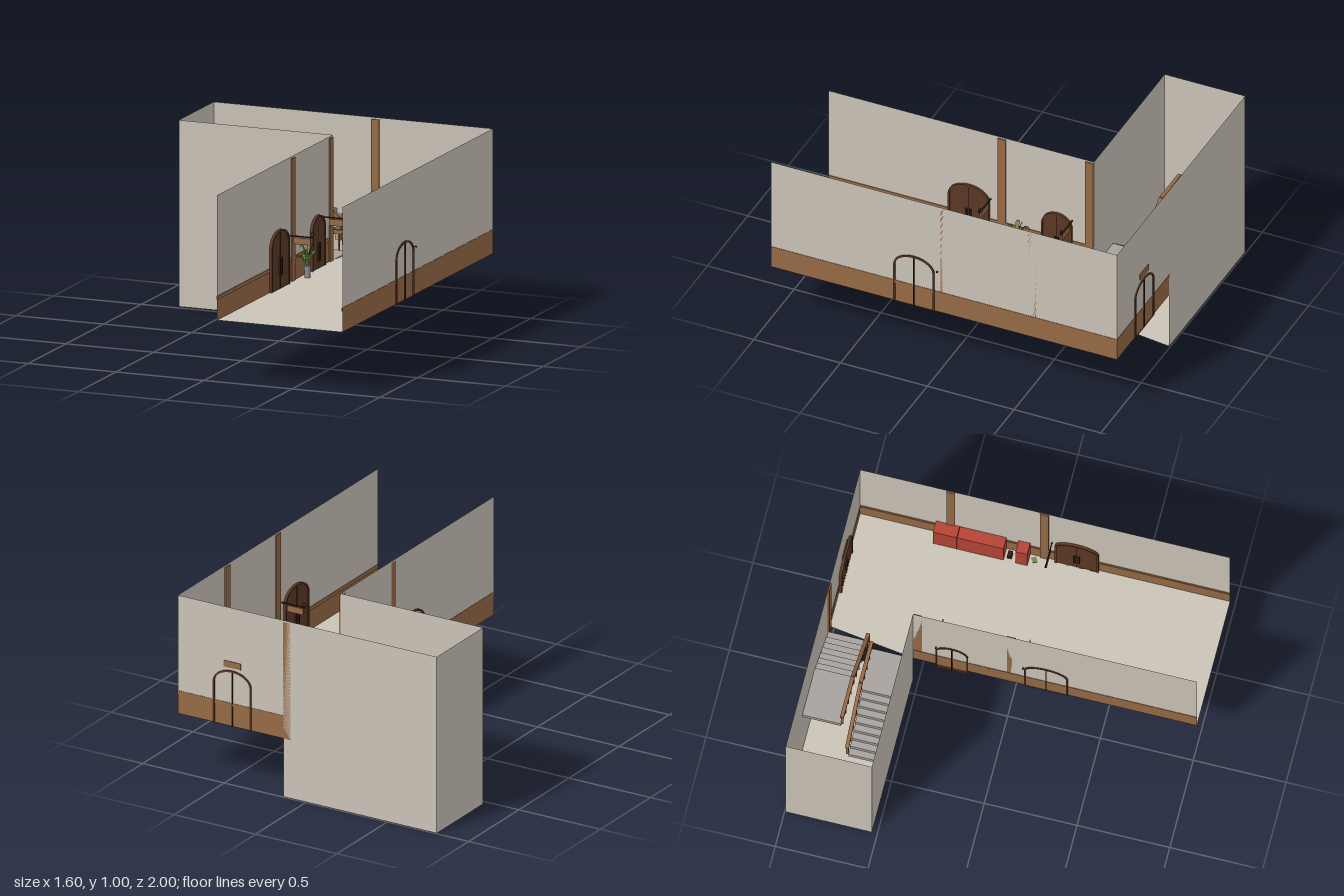
import * as THREE from 'three';

const mat = (name, color, side = THREE.FrontSide) => {
  const m = new THREE.MeshStandardMaterial({ color, side });
  m.name = name;
  return m;
};

export function createModel() {
  const D = THREE.DoubleSide;
  const plaster = mat('plaster', 0xcbc3b8, D);
  const wood = mat('wood', 0x966a45, D);
  const darkWood = mat('dark wood', 0x5c3825);
  const iron = mat('dark iron', 0x2e1d14);
  const stone = mat('stair stone', 0xa8a29d);
  const red = mat('red', 0xb54436);
  const green = mat('leaf green', 0x6c8f42, D);
  const potGrey = mat('pot grey', 0x8d8f90);

  const root = new THREE.Group();
  const add = (name, geo, material, x = 0, y = 0, z = 0, parent = root) => {
    const m = new THREE.Mesh(geo, material);
    m.name = name;
    m.position.set(x, y, z);
    parent.add(m);
    return m;
  };
  // box given by its lower and upper corners
  const box = (name, material, x0, x1, y0, y1, z0, z1, parent = root) =>
    add(name, new THREE.BoxGeometry(x1 - x0, y1 - y0, z1 - z0), material,
      (x0 + x1) / 2, (y0 + y1) / 2, (z0 + z1) / 2, parent);

  // flat upright wall between two plan points
  const wall = (name, material, [xa, za], [xb, zb], y0, y1) => {
    const m = add(name, new THREE.PlaneGeometry(Math.hypot(xb - xa, zb - za), y1 - y0), material,
      (xa + xb) / 2, (y0 + y1) / 2, (za + zb) / 2);
    m.rotation.y = -Math.atan2(zb - za, xb - xa);
  };
  // flat floor from plan points
  const floor = (name, pts, y) => {
    const g = new THREE.ShapeGeometry(new THREE.Shape(pts.map(([x, z]) => new THREE.Vector2(x, -z))));
    g.rotateX(-Math.PI / 2);
    add(name, g, plaster, 0, y, 0);
  };

  const F = 0.33, DADO = 0.46, TOP = 1, L = 0.075, R = 0.787, B = -0.994, S = -0.53, W = -0.8, K = 0.14;

  // corridor and stairwell shell
  floor('corridorFloor', [[L, 1], [R, 1], [R, B], [K, B], [L, S]], F);
  floor('stairwellFloor', [[W, S], [L, S], [K, B], [W, B]], 0);
  wall('leftUpperWall', plaster, [L, S], [L, 1], DADO, TOP);
  wall('rightUpperWall', plaster, [R, B], [R, 1], DADO, TOP);
  wall('backUpperWall', plaster, [K, B], [R, B], DADO, TOP);
  wall('stairwellBackWall', plaster, [W, B], [K, B], 0, TOP);
  wall('stairwellSideWall', plaster, [W, B], [W, S], 0, TOP);
  wall('stairwellFrontWall', plaster, [W, S], [L, S], 0, TOP);

  // wainscot with a slim cap rail
  wall('leftWainscot', wood, [L, S], [L, 1], F, DADO);
  wall('rightWainscot', wood, [R, B], [R, 1], F, DADO);
  wall('backWainscot', wood, [K, B], [R, B], F, DADO);
  box('leftCapRail', wood, L - 0.002, L + 0.004, 0.44, DADO, S, 1);
  box('rightCapRail', wood, R - 0.004, R + 0.002, 0.44, DADO, B, 1);
  box('backCapRail', wood, K, R, 0.44, DADO, B - 0.002, B + 0.004);

  // wall posts
  for (const z of [-0.505, 0]) {
    box('leftPost', wood, L, L + 0.007, F, 0.99, z - 0.023, z + 0.023);
    box('rightPost', wood, R - 0.007, R, F, 0.99, z - 0.023, z + 0.023);
  }
  box('backPost', wood, 0.098, 0.142, F, 0.99, B, B + 0.008);

  // arched double doors
  const arch = (w, spring, rise, Type) => {
    const s = new Type();
    s.moveTo(-w, 0);
    s.lineTo(w, 0);
    s.lineTo(w, spring);
    s.absellipse(0, spring, w, rise, 0, Math.PI, false);
    s.lineTo(-w, 0);
    return s;
  };
  const extrude = (shape, depth) =>
    new THREE.ExtrudeGeometry(shape, { depth, bevelEnabled: false, curveSegments: 16 });
  const door = (name, x, y, z, turn, width) => {
    const g = new THREE.Group();
    g.name = name;
    g.position.set(x, y, z);
    g.rotation.y = turn;
    g.scale.x = width / 0.236;
    const rim = arch(0.118, 0.235, 0.08, THREE.Shape);
    rim.holes.push(arch(0.108, 0.235, 0.07, THREE.Path));
    add('doorFrame', extrude(rim, 0.021), darkWood, 0, 0, -0.006, g);
    add('doorLeaves', extrude(arch(0.11, 0.235, 0.072, THREE.Shape), 0.009), darkWood, 0, 0, 0.001, g);
    box('doorSeam', iron, -0.003, 0.003, 0, 0.305, -0.006, 0.012, g);
    for (const s of [-1, 1]) box('doorHandle', iron, s * 0.012 - 0.005, s * 0.012 + 0.005, 0.07, 0.165, 0.01, 0.018, g);
    root.add(g);
  };
  door('backDoor', 0.453, F, B, 0, 0.236);
  door('leftFrontDoor', L, F, 0.188, Math.PI / 2, 0.236);
  door('leftRearDoor', L, F - 0.03, -0.32, Math.PI / 2, 0.175);
  door('rightDoor', R, F, 0.175, -Math.PI / 2, 0.236);
  box('backDoorSign', wood, 0.4, 0.505, 0.66, 0.695, B - 0.004, B + 0.005);

  // signs hanging from wall rods
  const sign = (x, z, dir) => {
    const g = new THREE.Group();
    g.name = 'hangingSign';
    g.position.set(x, 0, z);
    const span = (a, b) => [Math.min(a * dir, b * dir), Math.max(a * dir, b * dir)];
    box('signRod', iron, ...span(-0.012, 0.145), 0.584, 0.59, -0.003, 0.003, g);
    box('signBoard', wood, ...span(0.035, 0.132), 0.545, 0.58, -0.004, 0.004, g);
    add('rodRing', new THREE.TorusGeometry(0.011, 0.002, 6, 16), iron, dir * 0.14, 0.603, 0, g);
    root.add(g);
  };
  sign(L, -0.405, 1);
  sign(L, 0.065, 1);
  sign(R, 0.04, -1);

  // stairs: rear flight climbs to a landing, front flight drops from one
  const N = 8, RISE = 0.0275, BACK = [B + 0.001, -0.785], FRONT = [-0.745, S - 0.001];
  for (let i = 0; i < N; i++) {
    const xu = 0.1 - i * 0.04, yu = F + (i + 1) * RISE;
    box('upStep', stone, xu - 0.04, xu, yu - 0.035, yu, ...BACK);
    const xd = -0.16 - i * 0.036, yd = F - (i + 1) * RISE;
    box('downStep', stone, xd - 0.036, xd, yd - 0.03, yd + 0.001, ...FRONT);
  }
  const HI = F + N * RISE, LO = F - N * RISE;
  box('upperLanding', stone, -0.45, -0.22, HI - 0.03, HI, ...BACK);
  box('lowerLanding', stone, -0.16, L, F - 0.03, F - 0.001, FRONT[0] - 0.015, FRONT[1]);

  // handrails with balusters
  const beam = (name, x0, y0, x1, y1, z) => {
    const m = add(name, new THREE.BoxGeometry(Math.hypot(x1 - x0, y1 - y0), 0.02, 0.02), wood,
      (x0 + x1) / 2, (y0 + y1) / 2, z);
    m.rotation.z = Math.atan2(y1 - y0, x1 - x0);
  };
  const H = 0.1, ZU = -0.78, ZD = -0.752;
  beam('upSlopeRail', -0.22, HI + H, 0.1, F + H, ZU);
  beam('upLevelRail', -0.45, HI + H, -0.22, HI + H, ZU);
  beam('downSlopeRail', -0.45, LO + H, -0.16, F + H, ZD);
  beam('downLevelRail', -0.16, F + H, L, F + H, ZD);
  for (let i = 0; i <= 9; i++) {
    const x = -0.44 + i * 0.057;
    const yu = x < -0.22 ? HI : HI - (x + 0.22) * (HI - F) / 0.32;
    const yd = x > -0.16 ? F : F + (x + 0.16) * (F - LO) / 0.29;
    box('upBaluster', wood, x - 0.004, x + 0.004, yu - 0.01, yu + H, ZU - 0.006, ZU + 0.006);
    box('downBaluster', wood, x - 0.004, x + 0.004, yd - 0.02, yd + H, ZD - 0.006, ZD + 0.006);
  }
  box('newelPost', wood, 0.09, 0.11, F, F + H + 0.02, ZU - 0.01, ZU + 0.01);

  // red cabinets along the right wall
  for (const [z0, z1] of [[-0.585, -0.457], [-0.455, -0.205], [-0.14, -0.077]])
    box('redCabinet', red, 0.72, R - 0.002, F, 0.5, z0, z1);
  box('smallStand', iron, 0.735, 0.77, F, 0.36, -0.19, -0.165);
  const leafOnFloor = box('floorLeaf', green, 0.745, 0.775, F, F + 0.005, -0.06, -0.035);
  leafOnFloor.rotation.y = 0.5;

  // potted plant by the left wall
  const plant = new THREE.Group();
  plant.name = 'pottedPlant';
  plant.position.set(0.117, F, -0.1);
  add('pot', new THREE.CylinderGeometry(0.019, 0.015, 0.065, 16), potGrey, 0, 0.0325, 0, plant);
  for (let i = 0; i < 9; i++) {
    const leaf = new THREE.PlaneGeometry(1, 1, 2, 5);
    const p = leaf.attributes.position, len = 0.055 + (i % 3) * 0.01, lift = 0.05 + (i * 4 % 9) * 0.008;
    for (let k = 0; k < p.count; k++) {
      const t = p.getY(k) + 0.5, w = Math.sin(Math.PI * (0.08 + 0.9 * t)) * 0.022;
      p.setXYZ(k, p.getX(k) * w, 0.06 + lift * Math.sin(t * 2.1), t * len);
    }
    leaf.computeVertexNormals();
    const m = add('leaf', leaf, green, 0, 0, 0, plant);
    m.rotation.y = i * 2.4;
    m.scale.z = 0.5 + 0.7 * Math.abs(Math.cos(i * 2.4));
  }
  for (const [dx, dz] of [[0.03, 0.02], [-0.015, -0.03], [0.01, -0.06]]) {
    const path = new THREE.QuadraticBezierCurve3(new THREE.Vector3(0, 0.06, 0),
      new THREE.Vector3(dx * 0.2, 0.13, dz * 0.2), new THREE.Vector3(dx, 0.185, dz));
    add('stem', new THREE.TubeGeometry(path, 6, 0.002, 5), darkWood, 0, 0, 0, plant);
  }
  root.add(plant);

  return root;
}
